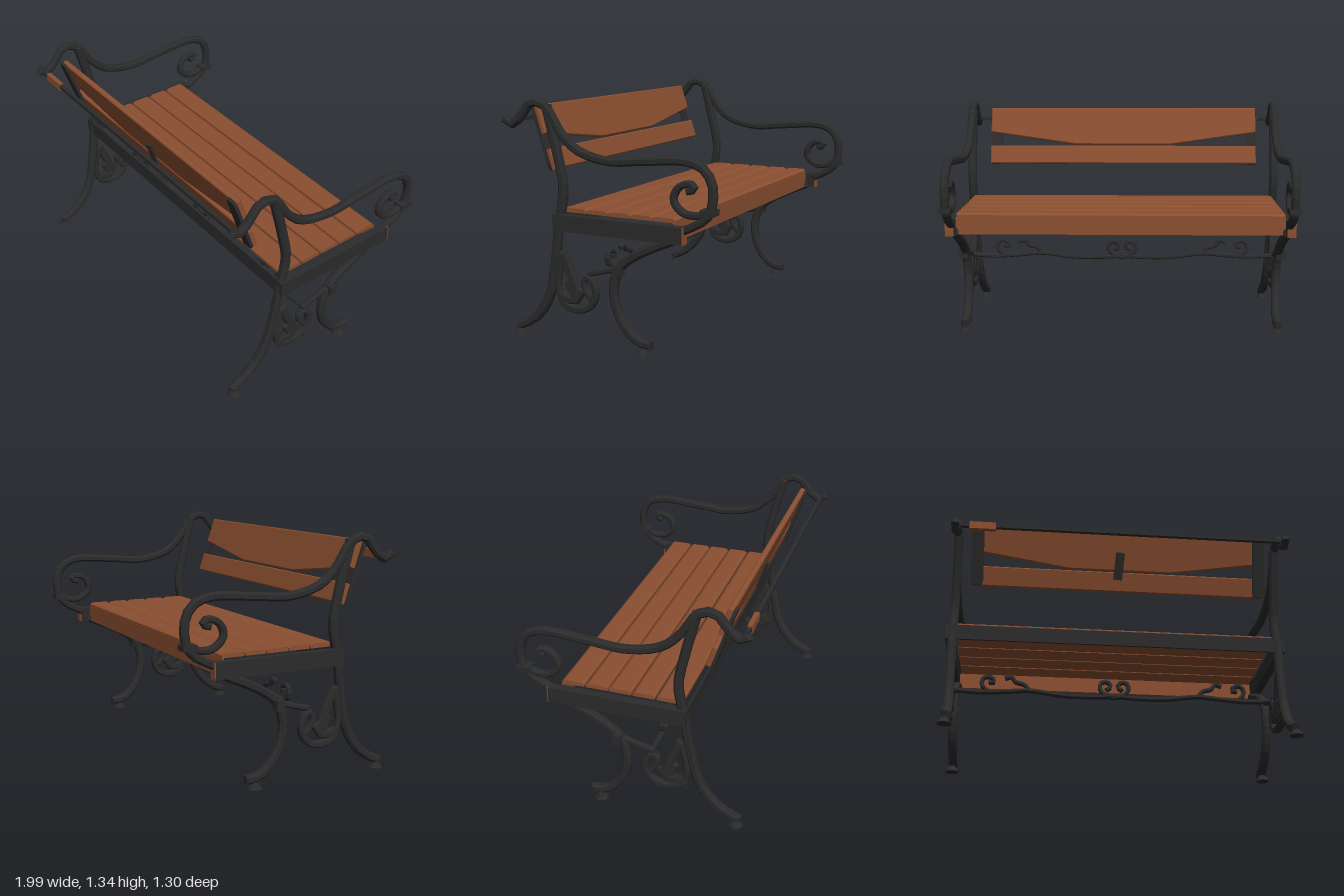
import * as THREE from 'three';

const iron = new THREE.MeshStandardMaterial({ color: 0x2b2b2b, flatShading: true });
iron.name = 'dark iron';
const wood = new THREE.MeshStandardMaterial({ color: 0x8b4f31, flatShading: true });
wood.name = 'brown wood';

// Flat bar that follows a planar path, with chamfered edges
function barGeometry(points, thick, depth, segments, endThick = thick) {
  const curve = new THREE.CatmullRomCurve3(points.map(([a, b]) => new THREE.Vector3(a, b, 0)), false, 'centripetal');
  const left = [], right = [];
  const bevel = Math.min(thick, endThick, depth) * 0.25;
  for (let i = 0; i <= segments; i++) {
    const p = curve.getPointAt(i / segments), t = curve.getTangentAt(i / segments);
    const h = THREE.MathUtils.lerp(thick, endThick, i / segments) / 2 - bevel;
    left.push(new THREE.Vector2(p.x - t.y * h, p.y + t.x * h));
    right.unshift(new THREE.Vector2(p.x + t.y * h, p.y - t.x * h));
  }
  const geo = new THREE.ExtrudeGeometry(new THREE.Shape([...right, ...left]), {
    depth: depth - 2 * bevel, bevelEnabled: true, bevelSize: bevel, bevelThickness: bevel, bevelSegments: 1,
  });
  return geo.translate(0, 0, -depth / 2 + bevel);
}

function add(parent, name, geo, mat, x = 0, y = 0, z = 0) {
  const mesh = new THREE.Mesh(geo, mat);
  mesh.name = name;
  mesh.position.set(x, y, z);
  parent.add(mesh);
  return mesh;
}

const box = (w, h, d) => new THREE.BoxGeometry(w, h, d);

// Side paths as [z, y]
const armPath = [[0.635, 1.215], [0.6, 1.19], [0.54, 1.225], [0.475, 1.305], [0.42, 1.317], [0.36, 1.285],
  [0.28, 1.165], [0.18, 1.075], [-0.015, 1.025], [-0.23, 1.04], [-0.495, 1.052], [-0.58, 1.015],
  [-0.622, 0.935], [-0.61, 0.81], [-0.565, 0.755], [-0.46, 0.7]];
const scrollPath = [[-0.6, 0.81], [-0.545, 0.785], [-0.46, 0.79], [-0.405, 0.845], [-0.415, 0.9],
  [-0.46, 0.937], [-0.508, 0.938], [-0.52, 0.915], [-0.485, 0.905]];
const rearLegPath = [[0.6, 0.045], [0.55, 0.065], [0.465, 0.125], [0.385, 0.24], [0.335, 0.44], [0.3, 0.67],
  [0.268, 0.86], [0.302, 1.04], [0.342, 1.2], [0.365, 1.29]];
const frontLegPath = [[-0.245, 0.055], [-0.175, 0.065], [-0.095, 0.135], [-0.045, 0.24], [-0.035, 0.35],
  [-0.07, 0.455], [-0.155, 0.525], [-0.28, 0.59], [-0.405, 0.645]];
const lowerScrollPath = [[0.28, 0.5], [0.24, 0.41], [0.2, 0.3], [0.205, 0.25], [0.26, 0.25], [0.3, 0.26],
  [0.275, 0.22], [0.205, 0.195], [0.12, 0.215], [0.075, 0.29], [0.09, 0.36], [0.125, 0.385], [0.147, 0.36], [0.135, 0.31], [0.1, 0.27]];

function buildSide(s) {
  const side = new THREE.Group();
  side.name = s > 0 ? 'leftFrame' : 'rightFrame';
  const bar = (name, path, thick, depth, seg, x, endThick) =>
    add(side, name, barGeometry(path, thick, depth, seg, endThick).rotateY(-Math.PI / 2), iron, s * x);

  bar('armrest', armPath, 0.045, 0.045, 34, 0.96);
  bar('armScroll', scrollPath, 0.036, 0.042, 20, 0.96);
  const rearLeg = bar('rearLeg', rearLegPath, 0.05, 0.05, 20, 0.955);
  const frontLeg = bar('frontLeg', frontLegPath, 0.05, 0.05, 18, 0.955);
  // Legs lean slightly inward toward the feet
  for (const leg of [rearLeg, frontLeg]) {
    const p = leg.geometry.attributes.position;
    for (let i = 0; i < p.count; i++) p.setX(i, p.getX(i) - s * 0.02 * Math.max(0, 1 - p.getY(i) / 0.6));
    leg.geometry.computeVertexNormals();
  }
  bar('lowerScroll', lowerScrollPath, 0.05, 0.04, 34, 0.955, 0.03);
  // Leaf filling between scroll and rear leg
  bar('scrollLeaf', [[0.285, 0.5], [0.305, 0.4], [0.315, 0.31], [0.295, 0.24]], 0.035, 0.035, 6, 0.955);
  bar('scrollHeart', [[0.24, 0.35], [0.2, 0.29], [0.17, 0.27]], 0.06, 0.035, 5, 0.955, 0.09);
  bar('legBrace', [[0.12, 0.405], [-0.09, 0.46]], 0.032, 0.03, 1, 0.95);
  add(side, 'armCollar', box(0.065, 0.03, 0.08), iron, s * 0.96, 0.807, -0.605);
  add(side, 'braceCollar', box(0.06, 0.06, 0.045), iron, s * 0.965, 0.45, -0.075);
  for (const z of [0.59, -0.2]) {
    add(side, 'footPad', new THREE.CylinderGeometry(0.02, 0.042, 0.035, 7), iron, s * 0.94, 0.0175, z);
  }
  // Seat side rail with a wooden front end
  add(side, 'seatSideRail', box(0.05, 0.09, 0.785), iron, s * 0.97, 0.675, -0.0725);
  add(side, 'railEnd', box(0.05, 0.09, 0.005), wood, s * 0.97, 0.675, -0.4675);
  return side;
}

function buildSeat() {
  const seat = new THREE.Group();
  seat.name = 'seat';
  for (const [z0, z1] of [[-0.4, -0.272], [-0.262, -0.138], [-0.13, -0.003], [0.006, 0.13], [0.14, 0.285]]) {
    const shape = new THREE.Shape([[z0, 0.728], [z1, 0.728], [z1, 0.742], [z1 - 0.015, 0.752], [z0 + 0.015, 0.752],
      [z0, 0.742]].map(([a, b]) => new THREE.Vector2(a, b)));
    const geo = new THREE.ExtrudeGeometry(shape, { depth: 1.88, bevelEnabled: false });
    add(seat, 'seatSlat', geo.translate(0, 0, -0.94).rotateY(-Math.PI / 2), wood);
  }
  add(seat, 'frontApron', box(1.89, 0.1, 0.01), wood, 0, 0.68, -0.396);
  add(seat, 'rearRail', box(1.92, 0.09, 0.012), iron, 0, 0.675, 0.312);
  return seat;
}

function buildBackrest() {
  const back = new THREE.Group();
  back.name = 'backrest';
  const board = (name, pts) => {
    const geo = new THREE.ExtrudeGeometry(new THREE.Shape(pts.map(([a, b]) => new THREE.Vector2(a, b))), {
      depth: 0.02, bevelEnabled: true, bevelSize: 0.006, bevelThickness: 0.006, bevelSegments: 1, });
    add(back, name, geo.translate(0, 0, -0.01), wood);
  };
  // Boards leave a gap that narrows to nothing in the middle
  board('upperBoard', [[-0.85, 0.025], [-0.3, -0.055], [0.3, -0.055], [0.85, 0.025], [0.85, 0.175], [-0.85, 0.175]]);
  board('lowerBoard', [[-0.85, -0.18], [0.85, -0.18], [0.85, -0.075], [-0.85, -0.075]]);
  for (const s of [-1, 1]) {
    const strap = new THREE.Shape([[-0.03, -0.185], [0.025, -0.185], [0.035, -0.15], [0.03, 0.15], [0.02, 0.185],
      [-0.03, 0.185], [-0.04, 0.15], [-0.035, -0.15]].map(([a, b]) => new THREE.Vector2(a, b)));
    add(back, 'endStrap', new THREE.ExtrudeGeometry(strap, { depth: 0.018, bevelEnabled: false }), iron, s * 0.828, 0, 0.014);
  }
  const centre = add(back, 'centreStrap', new THREE.CylinderGeometry(0.03, 0.03, 0.16, 6), iron, -0.005, -0.035, 0.016);
  centre.scale.z = 0.6;
  centre.rotation.z = -0.08;
  back.position.set(0, 1.115, 0.455);
  back.rotation.x = 0.32;
  return back;
}

function buildStretcher() {
  const stretcher = new THREE.Group();
  stretcher.name = 'ornamentalStretcher';
  const vine = [[-0.93, 0.4], [-0.8, 0.392], [-0.65, 0.4], [-0.5, 0.412], [-0.3, 0.388], [-0.1, 0.388], [0, 0.395],
    [0.1, 0.388], [0.3, 0.388], [0.5, 0.412], [0.65, 0.4], [0.8, 0.392], [0.93, 0.4]];
  add(stretcher, 'vineBar', barGeometry(vine, 0.024, 0.03, 36), iron, 0, 0, 0.108);
  const curls = [
    [[0, 0.385], [0.05, 0.4], [0.085, 0.44], [0.075, 0.48], [0.04, 0.485], [0.02, 0.455], [0.045, 0.435]],
    [[0.5, 0.412], [0.535, 0.45], [0.58, 0.462], [0.61, 0.495], [0.64, 0.485]],
    [[0.66, 0.4], [0.74, 0.4], [0.78, 0.44], [0.77, 0.485], [0.73, 0.49], [0.705, 0.46], [0.735, 0.455]],
  ];
  for (const s of [-1, 1]) {
    for (const curl of curls) {
      const path = curl.map(([x, y]) => [s * x, y]);
      add(stretcher, 'curl', barGeometry(path, 0.024, 0.028, 12), iron, 0, 0, 0.108);
    }
  }
  return stretcher;
}

export function createModel() {
  const bench = new THREE.Group();
  bench.name = 'gardenBench';
  bench.add(buildSide(1), buildSide(-1), buildSeat(), buildBackrest(), buildStretcher());
  // Thin rod joining the rear curls, with a short wooden sleeve
  add(bench, 'rearRod', box(1.86, 0.022, 0.022), iron, 0, 1.208, 0.617);
  add(bench, 'rodSleeve', box(0.15, 0.045, 0.026), wood, -0.805, 1.206, 0.617);
  return bench;
}
